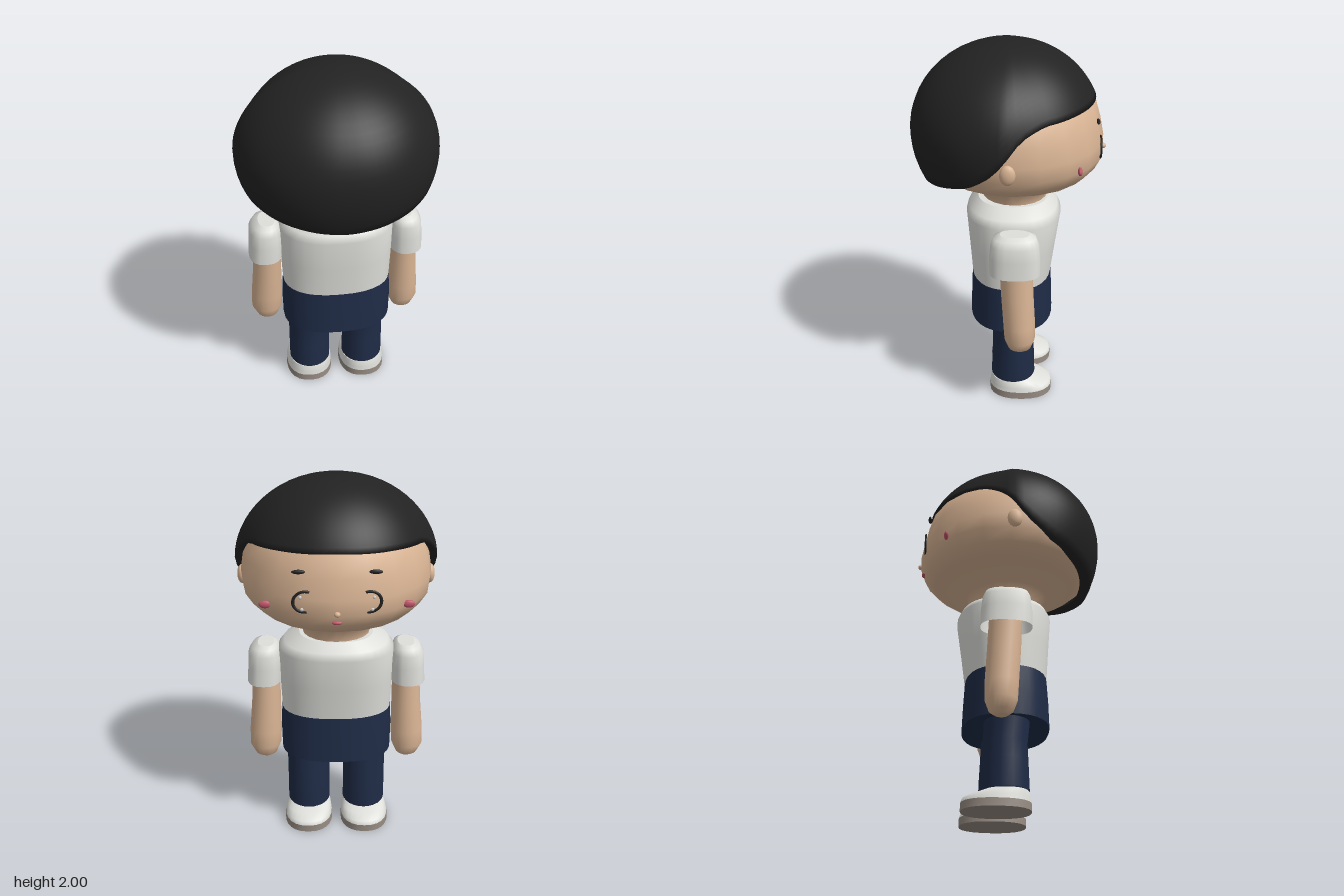
import * as THREE from 'three';

const mat = (name, color, side = THREE.FrontSide) => {
  const m = new THREE.MeshStandardMaterial({ color, side });
  m.name = name;
  return m;
};

// Smooth skin over closed rings of points, listed from bottom to top
function skinRings(rings, capBottom, capTop) {
  const n = rings[0].length, pos = [], idx = [];
  rings.forEach(r => r.forEach(p => pos.push(...p)));
  for (let i = 0; i < rings.length - 1; i++) {
    for (let j = 0; j < n; j++) {
      const a = i * n + j, b = i * n + (j + 1) % n;
      idx.push(a, a + n, b, b, a + n, b + n);
    }
  }
  const cap = (ring, up) => {
    const base = pos.length / 3, c = [0, 0, 0];
    ring.forEach(p => { pos.push(...p); p.forEach((v, k) => { c[k] += v / n; }); });
    pos.push(...c);
    for (let j = 0; j < n; j++) {
      const a = base + j, b = base + (j + 1) % n;
      idx.push(...(up ? [base + n, b, a] : [base + n, a, b]));
    }
  };
  if (capBottom) cap(rings[0], false);
  if (capTop) cap(rings[rings.length - 1], true);
  const g = new THREE.BufferGeometry();
  g.setAttribute('position', new THREE.Float32BufferAttribute(pos, 3));
  g.setIndex(idx);
  g.computeVertexNormals();
  return g;
}

// Rounded sections: each is [y, centreX, halfWidth, zMin, zMax]
function loft(sections, { n = 20, power = 2, bottom = false, top = false } = {}) {
  const bend = v => Math.sign(v) * Math.abs(v) ** (2 / power);
  const rings = sections.map(([y, cx, rx, z0, z1]) => Array.from({ length: n }, (_, j) => {
    const a = j / n * Math.PI * 2;
    return [cx + rx * bend(Math.cos(a)), y, (z0 + z1) / 2 + (z1 - z0) / 2 * bend(Math.sin(a))];
  }));
  return skinRings(rings, bottom, top);
}

// Piecewise linear lookup in [x, y] pairs
function lookup(table, x) {
  let i = 1;
  while (i < table.length - 1 && x > table[i][0]) i++;
  const [x0, y0] = table[i - 1], [x1, y1] = table[i];
  return y0 + (y1 - y0) * (x - x0) / (x1 - x0);
}

// Bowl-shaped hair: the hem height and radius vary with the angle from the face
function hairGeometry() {
  const hem = [[0, 1.72], [40, 1.71], [68, 1.695], [82, 1.65], [90, 1.57], [98, 1.47],
    [112, 1.39], [135, 1.34], [160, 1.31], [180, 1.295]];
  const radius = [[0, 0.482], [40, 0.487], [70, 0.492], [82, 0.505], [90, 0.53], [120, 0.53], [180, 0.51]];
  const n = 72, steps = 18, midY = 1.55, rings = [];
  for (let k = -1; k <= steps; k++) {
    rings.push(Array.from({ length: n }, (_, j) => {
      const a = j / n * Math.PI * 2;
      const deg = THREE.MathUtils.radToDeg(Math.acos(THREE.MathUtils.clamp(-Math.sin(a), -1, 1)));
      const edge = (lookup(hem, deg - 3 < 0 ? 0 : deg - 3) + lookup(hem, Math.min(deg + 3, 180))) / 2;
      const low = edge - midY;
      const start = Math.asin(low / (low < 0 ? 0.52 : 0.45));
      const t = start + (Math.PI / 2 - start) * Math.max(k, 0) / steps;
      const y = midY + Math.sin(t) * (t < 0 ? 0.52 : 0.45);
      // the first ring folds the hem inward
      const r = lookup(radius, deg) * Math.max(Math.cos(t), 0.0005) * (k < 0 ? 0.89 : 1);
      return [r * Math.cos(a), k < 0 ? y + 0.015 : y, r * Math.sin(a)];
    }));
  }
  return skinRings(rings);
}

export function createModel() {
  const model = new THREE.Group();
  model.name = 'figure';
  const skin = mat('skin', 0xd9b494);
  const black = mat('black hair', 0x222222, THREE.DoubleSide);
  const white = mat('white cloth', 0xdededa, THREE.DoubleSide);
  const navy = mat('navy cloth', 0x1f2c47, THREE.DoubleSide);
  const soleGrey = mat('sole grey', 0x968b82);
  const pink = mat('pink', 0xc0566a);
  const glint = mat('eye glint', 0xd0d0d0);

  const add = (name, geometry, material, parent = model) => {
    const m = new THREE.Mesh(geometry, material);
    m.name = name;
    parent.add(m);
    return m;
  };
  const blob = (name, material, p, s) => {
    const m = add(name, new THREE.SphereGeometry(1, 14, 10), material);
    m.position.set(...p);
    m.scale.set(...s);
    return m;
  };

  // Head and neck in one piece
  add('head', loft([
    [1.1, 0, 0.18, -0.2, 0.14], [1.17, 0, 0.18, -0.205, 0.14], [1.25, 0, 0.215, -0.235, 0.215],
    [1.31, 0, 0.385, -0.415, 0.36], [1.36, 0, 0.45, -0.465, 0.43], [1.42, 0, 0.49, -0.495, 0.46],
    [1.5, 0, 0.5, -0.495, 0.465], [1.6, 0, 0.485, -0.475, 0.46], [1.7, 0, 0.45, -0.445, 0.43],
    [1.8, 0, 0.37, -0.36, 0.36], [1.88, 0, 0.24, -0.24, 0.24],
  ], { top: true }), skin);
  add('hair', hairGeometry(), black);

  // Shirt body and the upper part of the trousers
  add('shirt', loft([
    [0.72, 0, 0.3, -0.232, 0.2], [0.9, 0, 0.308, -0.256, 0.213], [1.08, 0, 0.312, -0.282, 0.227],
    [1.12, 0, 0.28, -0.262, 0.21], [1.165, 0, 0.2, -0.212, 0.165],
  ], { n: 32, power: 2.4, top: true }), white);
  add('trouserHips', loft([
    [0.46, 0, 0.305, -0.245, 0.212], [0.6, 0, 0.308, -0.24, 0.208], [0.722, 0, 0.301, -0.233, 0.201],
  ], { n: 32, power: 2.4, bottom: true }), navy);

  // Limbs, the same on both sides
  for (const s of [1, -1]) {
    const side = s > 0 ? 'left' : 'right';
    add(side + 'Sleeve', loft([
      [0.885, s * 0.392, 0.093, -0.17, 0.095], [0.98, s * 0.388, 0.092, -0.168, 0.095],
      [1.05, s * 0.387, 0.088, -0.16, 0.088], [1.085, s * 0.382, 0.07, -0.145, 0.075],
      [1.1, s * 0.378, 0.045, -0.11, 0.04],
    ], { power: 2.5, top: true }), white);
    add(side + 'Arm', loft([
      [0.415, s * 0.393, 0.03, -0.095, -0.03], [0.435, s * 0.396, 0.06, -0.125, -0.002],
      [0.49, s * 0.398, 0.086, -0.145, 0.018], [0.58, s * 0.394, 0.088, -0.145, 0.024],
      [0.75, s * 0.387, 0.08, -0.135, 0.035], [0.95, s * 0.382, 0.074, -0.125, 0.045],
    ], { bottom: true }), skin);
    add(side + 'TrouserLeg', loft([
      [0.095, s * 0.157, 0.112, -0.142, 0.088], [0.108, s * 0.157, 0.119, -0.15, 0.095],
      [0.25, s * 0.158, 0.118, -0.145, 0.09], [0.35, s * 0.158, 0.118, -0.14, 0.086],
      [0.48, s * 0.16, 0.122, -0.135, 0.1],
    ], { n: 24, bottom: true }), navy);
    add(side + 'Sole', loft([
      [0, s * 0.16, 0.136, -0.247, 0.105], [0.04, s * 0.16, 0.134, -0.247, 0.104],
    ], { n: 24, power: 2.3, bottom: true, top: true }), soleGrey);
    add(side + 'Shoe', loft([
      [0.04, s * 0.16, 0.134, -0.247, 0.104], [0.062, s * 0.159, 0.13, -0.24, 0.101],
      [0.082, s * 0.158, 0.124, -0.19, 0.097], [0.1, s * 0.157, 0.114, -0.14, 0.09],
    ], { n: 24, power: 2.3, top: true }), white);

    // Ear, cheek, brow and eye
    blob(side + 'Ear', skin, [s * 0.495, 1.472, 0], [0.026, 0.052, 0.04]);
    blob(side + 'Cheek', pink, [s * 0.354, 1.435, -0.356], [0.032, 0.02, 0.012]);
    blob(side + 'Brow', black, [s * 0.185, 1.635, -0.45], [0.033, 0.011, 0.009]);
    const eye = add(side + 'EyeOutline', new THREE.TorusGeometry(0.052, 0.007, 8, 28, 3.7), black);
    eye.position.set(s * 0.156, 1.49, -0.469);
    eye.scale.set(1, 1.1, 0.7);
    eye.rotation.z = s > 0 ? -1.75 : Math.PI - 1.95;
    blob(side + 'UpperGlint', glint, [s * 0.178, 1.512, -0.468], [0.008, 0.009, 0.005]);
    blob(side + 'LowerGlint', glint, [s * 0.17, 1.452, -0.472], [0.009, 0.008, 0.005]);
  }

  blob('nose', skin, [0, 1.435, -0.497], [0.016, 0.014, 0.015]);
  blob('mouth', pink, [0, 1.385, -0.478], [0.026, 0.01, 0.012]);
  return model;
}
